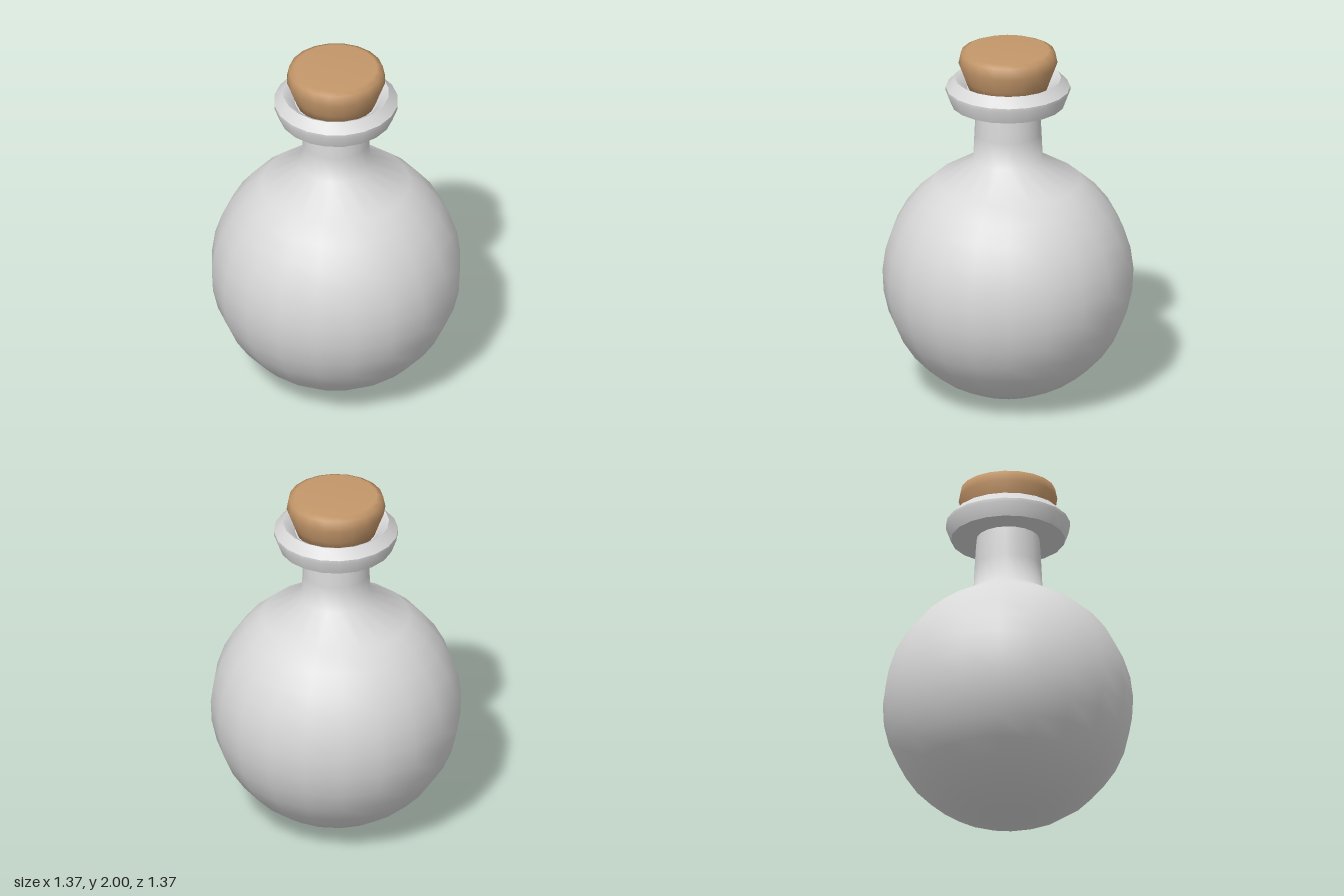
import * as THREE from 'three';
import { toCreasedNormals } from 'three/addons/utils/BufferGeometryUtils.js';

const SIDES = 20;

// Revolve a [radius, height] profile listed from the bottom up
function lathe(name, profile, material, crease) {
  let geometry = new THREE.LatheGeometry(profile.map(([r, y]) => new THREE.Vector2(r, y)), SIDES);
  if (crease) geometry = toCreasedNormals(geometry, crease);
  const mesh = new THREE.Mesh(geometry, material);
  mesh.name = name;
  return mesh;
}

export function createModel() {
  const glass = new THREE.MeshStandardMaterial({ color: 0xd8d8d8 });
  glass.name = 'pale grey glass';
  const corkBrown = new THREE.MeshStandardMaterial({ color: 0xc4976a });
  corkBrown.name = 'cork brown';

  const group = new THREE.Group();
  group.name = 'round flask';

  // Round body flowing into the neck
  const radius = 0.685, centre = 0.688, steps = 14;
  const endAngle = Math.acos(-0.553 / radius);
  const body = [];
  for (let i = 0; i <= steps; i++) {
    const a = (endAngle * i) / steps;
    body.push([radius * Math.sin(a), centre - radius * Math.cos(a)]);
  }
  body.push([0.19, 1.37], [0.183, 1.52], [0.177, 1.63], [0.172, 1.69]);
  group.add(lathe('bodyAndNeck', body, glass));

  // Lip with a flat underside, bevelled top and hollow seat for the stopper
  group.add(lathe('lip', [
    [0.165, 1.69], [0.312, 1.69], [0.34, 1.765], [0.34, 1.785],
    [0.29, 1.838], [0.265, 1.825], [0.225, 1.78], [0, 1.78],
  ], glass, 0.5));

  // Tapered stopper with a softened top edge
  group.add(lathe('stopper', [
    [0, 1.775], [0.215, 1.775], [0.238, 1.84], [0.27, 1.925],
    [0.258, 1.985], [0.225, 2.0], [0, 2.0],
  ], corkBrown));

  return group;
}
